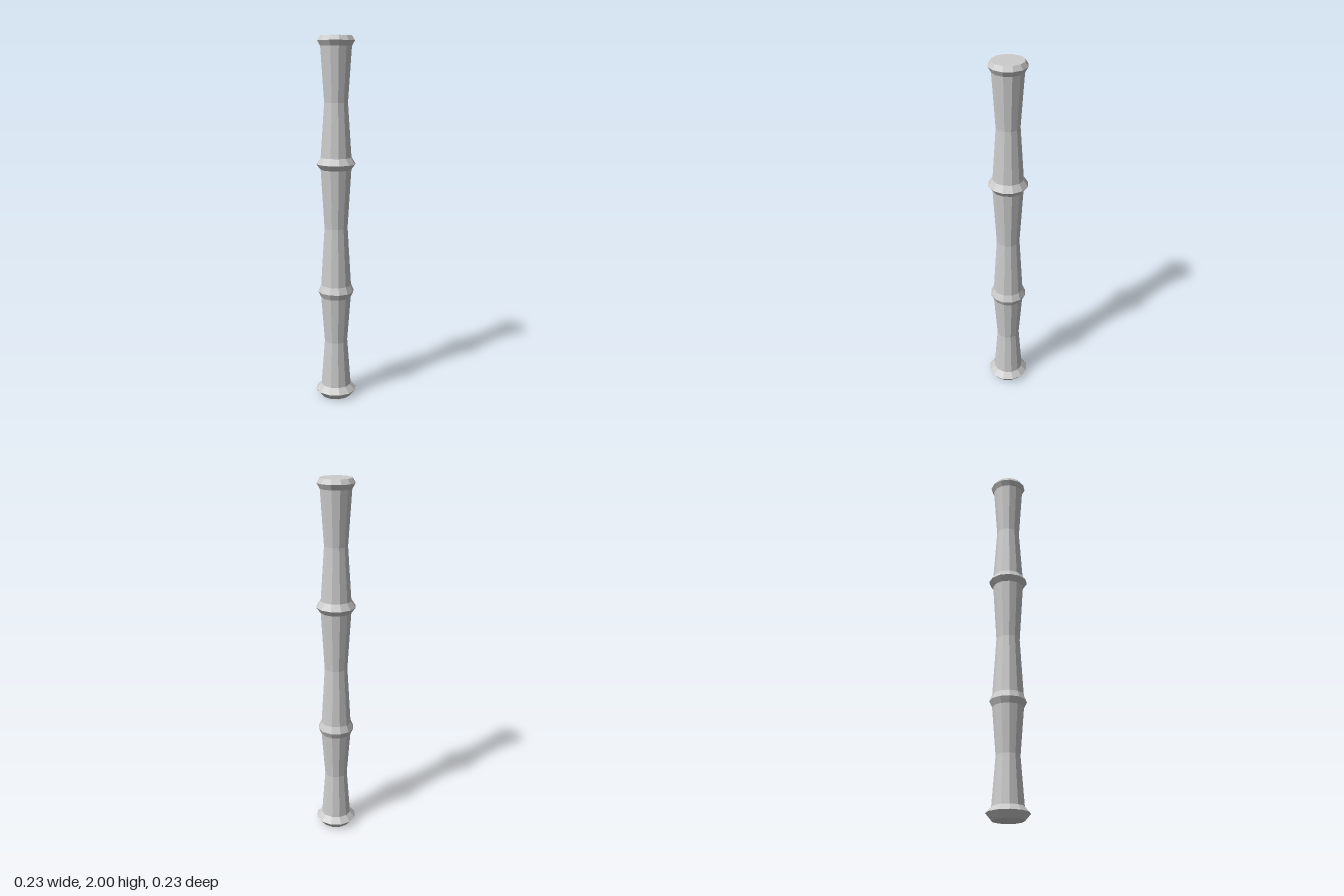
import * as THREE from 'three';

const SIDES = 12;
const END = 0.084; // radius where shafts and rings meet
const WAIST = 0.064; // radius at the middle of each shaft

export function createModel() {
  const group = new THREE.Group();
  group.name = 'bambooPole';
  const material = new THREE.MeshStandardMaterial({ color: 0xcccccc, flatShading: true });

  // Turned part from [radius, height] points, listed bottom to top
  const turned = (name, points) => {
    const profile = points.map(([r, y]) => new THREE.Vector2(r, y));
    const mesh = new THREE.Mesh(new THREE.LatheGeometry(profile, SIDES), material);
    mesh.name = name;
    group.add(mesh);
  };

  // Flared rings: bottom end, two joints, top end
  const rings = [
    { name: 'bottomRing', low: 0, mid: 0.036, high: 0.068, r: 0.114 },
    { name: 'lowerJointRing', low: 0.585, mid: 0.618, high: 0.655, r: 0.1 },
    { name: 'upperJointRing', low: 1.3, mid: 1.33, high: 1.365, r: 0.107 },
    { name: 'topRing', low: 1.947, mid: 1.975, high: 2, r: 0.1 },
  ];
  rings.forEach(({ name, low, mid, high, r }, i) => {
    const points = [[END, low], [r, mid], [END, high]];
    if (i === 0) points.unshift([0, low]); // closed underside
    if (i === rings.length - 1) points.push([0, high]); // closed top
    turned(name, points);
  });

  // Waisted shafts between neighbouring rings
  const names = ['lowerShaft', 'middleShaft', 'upperShaft'];
  names.forEach((name, i) => {
    const start = rings[i].high;
    const end = rings[i + 1].low;
    turned(name, [[END, start], [WAIST, (start + end) / 2], [END, end]]);
  });

  return group;
}
